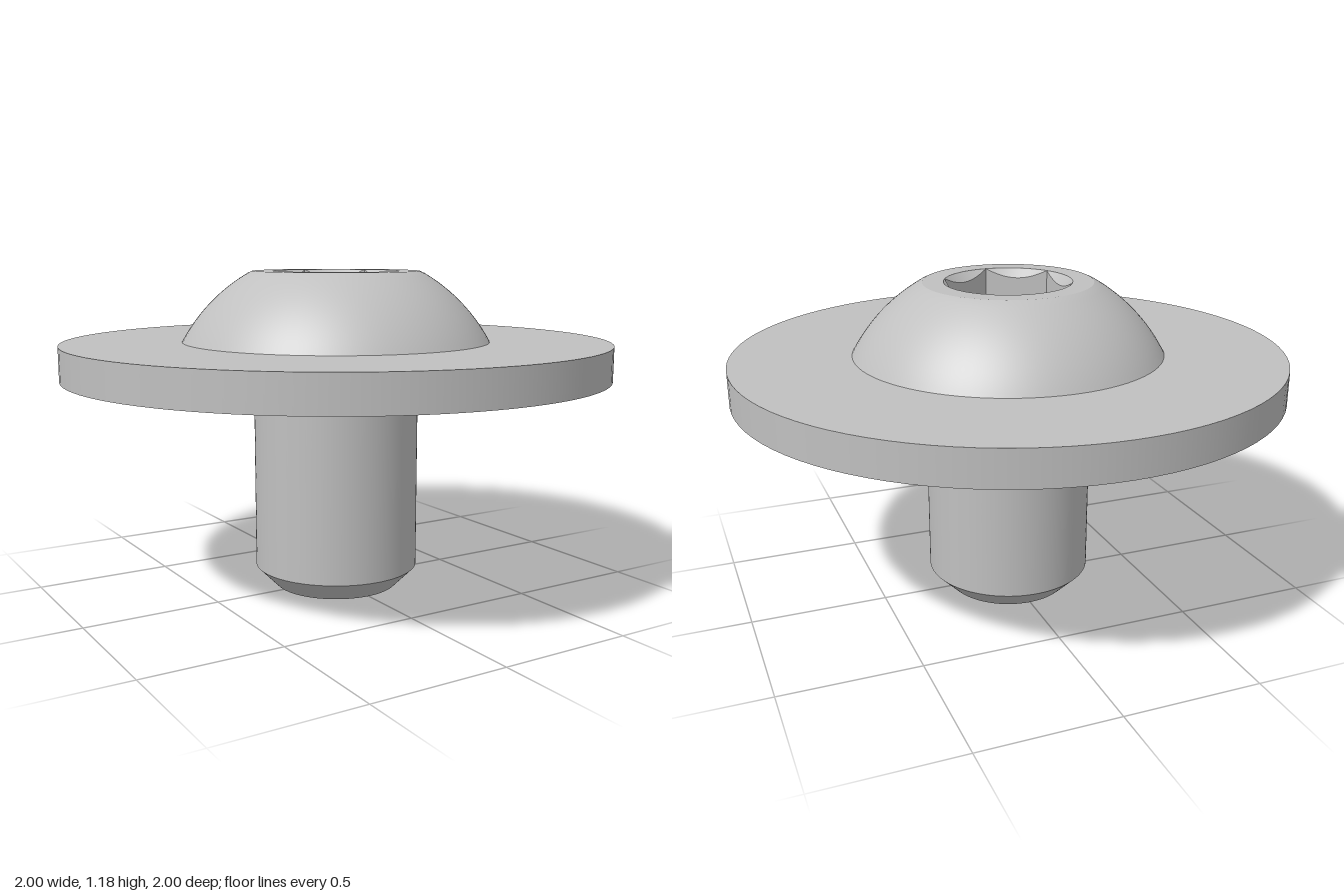
import * as THREE from 'three';
import { mergeGeometries } from 'three/addons/utils/BufferGeometryUtils.js';

const SEG = 96;
const TOP = 1.18;
const FLAT = 0.2;                              // half the width across the socket flats
const CORNER = FLAT / Math.cos(Math.PI / 6);   // socket corner radius
const FLOOR = 0.96;

// Lathe each run of points separately so edges between runs stay sharp.
function turned(...runs) {
  return mergeGeometries(runs.map(run =>
    new THREE.LatheGeometry(run.map(([r, y]) => new THREE.Vector2(r, y)), SEG)));
}

// Inward-facing strip between two curves, each giving [radius, y] at an angle.
function strip(a0, a1, upper, lower) {
  const n = SEG / 6, pos = [], idx = [];
  for (let i = 0; i <= n; i++) {
    const a = a0 + (a1 - a0) * i / n;
    for (const curve of [upper, lower]) {
      const [r, y] = curve(a);
      pos.push(r * Math.sin(a), y, r * Math.cos(a));
    }
    if (i < n) {
      const k = i * 2;
      idx.push(k, k + 2, k + 3, k, k + 3, k + 1);
    }
  }
  const g = new THREE.BufferGeometry();
  g.setAttribute('position', new THREE.Float32BufferAttribute(pos, 3));
  g.setIndex(idx);
  g.computeVertexNormals();
  return g;
}

export function createModel() {
  const model = new THREE.Group();
  const steel = new THREE.MeshStandardMaterial({ color: 0xc0c0c0 });
  steel.name = 'steel grey';
  const add = (name, geometry) => {
    const mesh = new THREE.Mesh(geometry, steel);
    mesh.name = name;
    model.add(mesh);
    return mesh;
  };

  // Shank with chamfered tip
  add('shank', turned(
    [[0, 0], [0.23, 0]],
    [[0.23, 0], [0.305, 0.075]],
    [[0.305, 0.075], [0.305, 0.8]]));

  // Wide flat flange
  add('flange', turned(
    [[0.305, 0.8], [1, 0.8]],
    [[1, 0.8], [1, 0.925]],
    [[1, 0.925], [0.565, 0.925]]));

  // Domed head: spherical arc centred on the axis, with a flat top ring
  const dome = [], cy = 0.615, R = Math.hypot(0.565, 0.925 - cy);
  const start = Math.asin(0.565 / R), end = Math.asin(0.307 / R);
  for (let i = 0; i <= 20; i++) {
    const t = start + (end - start) * i / 20;
    dome.push([R * Math.sin(t), i === 20 ? TOP : cy + R * Math.cos(t)]);
  }
  add('head', turned(dome, [[0.307, TOP], [CORNER, TOP]]));

  // Hex socket: conical lead-in cut by six flat walls
  const chamfers = [], walls = [];
  for (let k = 0; k < 6; k++) {
    const a0 = k * Math.PI / 3, a1 = a0 + Math.PI / 3, mid = (a0 + a1) / 2;
    const hexR = a => FLAT / Math.cos(a - mid);
    const edge = a => [hexR(a), TOP - (CORNER - hexR(a))];
    chamfers.push(strip(a0, a1, () => [CORNER, TOP], edge));
    walls.push(strip(a0, a1, edge, a => [hexR(a), FLOOR]));
  }
  add('socketChamfer', mergeGeometries(chamfers));
  add('socketWalls', mergeGeometries(walls));

  // Socket floor, corners on the z axis
  const floor = new THREE.CircleGeometry(CORNER, 6, Math.PI / 2);
  floor.rotateX(-Math.PI / 2);
  add('socketFloor', floor).position.y = FLOOR;

  return model;
}
